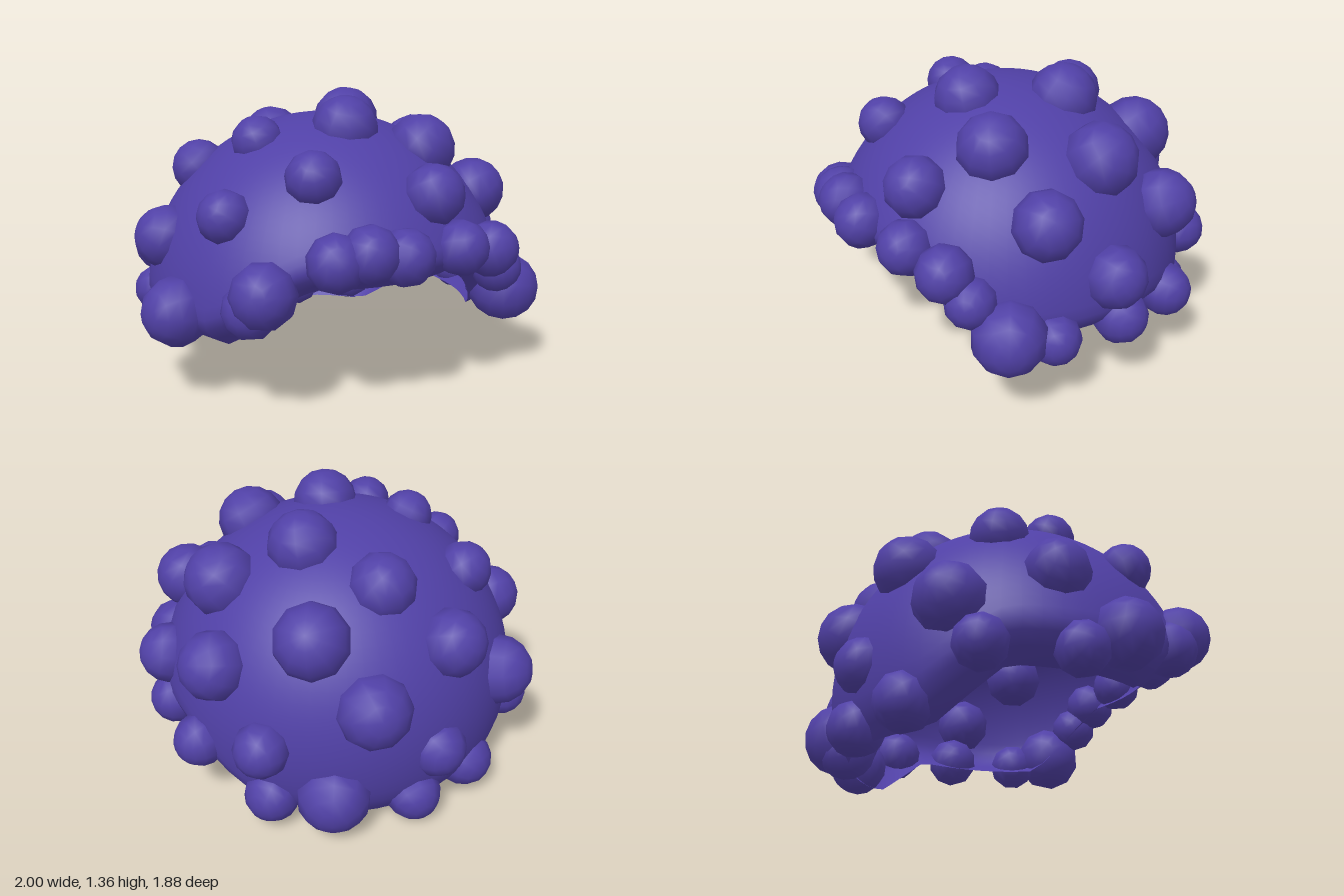
import * as THREE from 'three';

// Cap dome: half-widths and centre
const RX = 0.88, R = 0.87, CY = 0.4, CZ = 0.02;

// Height of the cap's rim, from front fringe to nape, as [z, y]
const RIM = [[0.76, 0.6], [0.45, 0.3], [-0.29, 0.3], [-0.58, 0.08], [-0.66, 0.06]];

function rimHeight(z) {
  if (z >= RIM[0][0]) return RIM[0][1];
  for (let i = 1; i < RIM.length; i++) {
    const [z0, y0] = RIM[i - 1], [z1, y1] = RIM[i];
    if (z >= z1) return y0 + (y1 - y0) * (z - z0) / (z1 - z0);
  }
  return RIM[RIM.length - 1][1];
}

// Open dome whose rows run from the crown down to the rim
function capGeometry(cols = 64, rows = 28) {
  const pos = [], index = [];
  for (let j = 0; j <= rows; j++) {
    for (let i = 0; i < cols; i++) {
      const a = (i / cols) * Math.PI * 2;
      const end = Math.acos((rimHeight(CZ + R * 0.98 * Math.cos(a)) - CY) / R);
      const t = (end * j) / rows;
      // The last stretch above the rim curls inward, least at the nape
      const curl = Math.max(0, 1 - ((end - t) * R) / 0.16);
      const pull = 0.17 - 0.13 * Math.max(0, -Math.cos(a)) ** 2;
      const s = Math.sin(t) * (1 - pull * curl * curl);
      pos.push(RX * s * Math.sin(a), CY + R * Math.cos(t), CZ + R * s * Math.cos(a));
    }
  }
  for (let j = 0; j < rows; j++) {
    for (let i = 0; i < cols; i++) {
      const n = (i + 1) % cols;
      const a = j * cols + i, b = j * cols + n, c = a + cols, d = b + cols;
      if (j > 0) index.push(a, d, b);
      index.push(a, c, d);
    }
  }
  const g = new THREE.BufferGeometry();
  g.setAttribute('position', new THREE.Float32BufferAttribute(pos, 3));
  g.setIndex(index);
  g.computeVertexNormals();
  // Crown vertices share one point, so give them one normal
  for (let i = 0; i < cols; i++) g.attributes.normal.setXYZ(i, 0, 1, 0);
  return g;
}

// Curls as [x, y, z, radius]
const CROWN_CURLS = [
  [0.005, 1.215, 0.23, 0.16], [0.36, 1.115, 0.33, 0.165], [0.21, 1.195, -0.17, 0.168],
  [0.58, 1.03, -0.10, 0.178], [0.27, 0.945, -0.58, 0.178], [0.68, 0.77, -0.40, 0.165],
  [0.70, 0.87, 0.28, 0.16], [0.85, 0.60, 0.015, 0.148], [-0.085, 1.085, -0.44, 0.162],
  [-0.375, 1.16, 0.085, 0.125], [-0.29, 1.06, 0.515, 0.128], [-0.555, 1.00, -0.235, 0.138],
  [-0.37, 0.85, -0.61, 0.162], [-0.67, 0.57, -0.49, 0.168], [-0.79, 0.72, -0.05, 0.152],
  [-0.64, 0.89, 0.35, 0.125], [0.235, 0.965, 0.65, 0.145], [0.04, 0.665, -0.765, 0.178],
];
const FRINGE_CURLS = [
  [0.62, 0.57, 0.62, 0.12], [0.53, 0.69, 0.69, 0.132], [0.32, 0.74, 0.76, 0.128],
  [0.01, 0.75, 0.81, 0.13], [-0.16, 0.78, 0.80, 0.132], [-0.30, 0.75, 0.76, 0.132],
  [-0.58, 0.61, 0.64, 0.15], [-0.61, 0.53, 0.57, 0.132],
];
const SIDE_CURLS = [
  [0.75, 0.42, 0.51, 0.172], [0.81, 0.37, 0.31, 0.122], [0.84, 0.37, -0.04, 0.13],
  [0.77, 0.35, -0.38, 0.128], [-0.84, 0.45, 0.24, 0.162], [-0.82, 0.36, 0.04, 0.125],
  [-0.75, 0.355, -0.38, 0.125],
];
const NAPE_CURLS = [
  [0.53, 0.48, -0.68, 0.132], [-0.27, 0.39, -0.76, 0.138], [0.22, 0.215, -0.76, 0.178],
  [0.18, 0.14, -0.74, 0.13], [-0.165, 0.14, -0.76, 0.132], [-0.47, 0.17, -0.62, 0.138],
  [0.48, 0.17, -0.63, 0.135],
];

export function createModel() {
  const model = new THREE.Group();
  model.name = 'curlyWig';
  const hair = new THREE.MeshStandardMaterial({ color: 0x5040a6, side: THREE.DoubleSide });
  hair.name = 'violet hair';

  const cap = new THREE.Mesh(capGeometry(), hair);
  cap.name = 'hairCap';
  model.add(cap);

  // Low-sided smooth balls seated half in the cap
  const ball = new THREE.SphereGeometry(1, 10, 8);
  const sets = { crownCurls: CROWN_CURLS, fringeCurls: FRINGE_CURLS, sideCurls: SIDE_CURLS, napeCurls: NAPE_CURLS };
  for (const [name, curls] of Object.entries(sets)) {
    const group = new THREE.Group();
    group.name = name;
    for (const [x, y, z, r] of curls) {
      const curl = new THREE.Mesh(ball, hair);
      curl.name = 'curl';
      curl.position.set(x, y, z);
      curl.scale.setScalar(r);
      // Turn each ball's pole outward from the cap
      curl.quaternion.setFromUnitVectors(new THREE.Vector3(0, 1, 0), new THREE.Vector3(x, y - CY, z).normalize());
      group.add(curl);
    }
    model.add(group);
  }
  return model;
}
